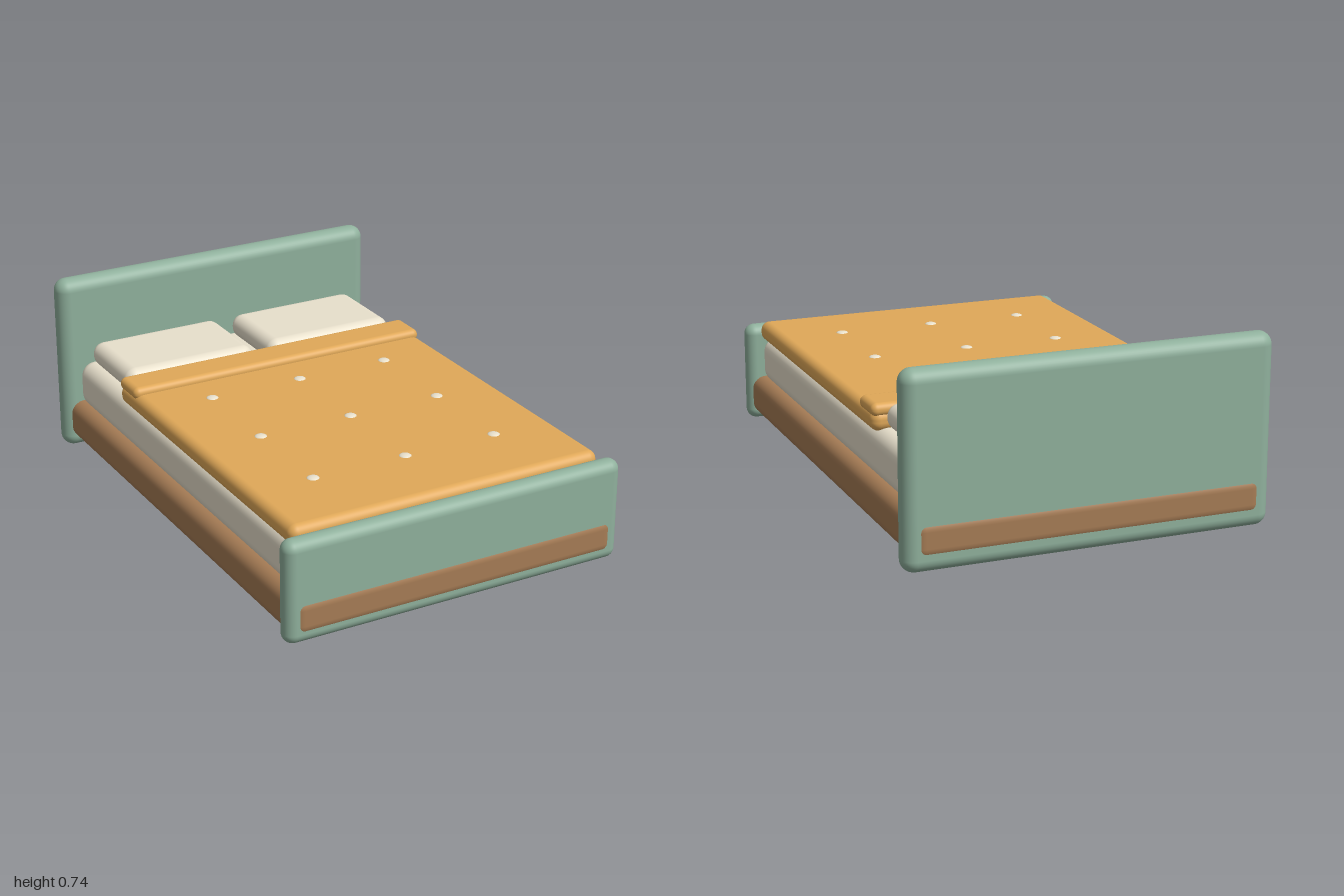
import * as THREE from 'three';
import { RoundedBoxGeometry } from 'three/addons/geometries/RoundedBoxGeometry.js';

const paint = (color) => new THREE.MeshStandardMaterial({ color });

export function createModel() {
  const bed = new THREE.Group();
  bed.name = 'bed';
  const green = paint(0x8fb09c), wood = paint(0xa67c55);
  const cream = paint(0xe8e0cc), mustard = paint(0xe0a858);

  // Rounded block given by its extents on each axis
  function block(name, material, [x0, x1], [y0, y1], [z0, z1], radius) {
    const geometry = new RoundedBoxGeometry(x1 - x0, y1 - y0, z1 - z0, 5, radius);
    const mesh = new THREE.Mesh(geometry, material);
    mesh.position.set((x0 + x1) / 2, (y0 + y1) / 2, (z0 + z1) / 2);
    mesh.name = name;
    bed.add(mesh);
  }

  // Frame, its ends showing just through the two boards
  block('frame', wood, [-0.67, 0.67], [0.06, 0.22], [-1, 1], 0.05);
  block('headboard', green, [-0.7, 0.7], [0.018, 0.74], [-0.996, -0.896], 0.049);
  block('footboard', green, [-0.69, 0.69], [0.038, 0.435], [0.914, 0.996], 0.04);

  // Bedding
  block('mattress', cream, [-0.63, 0.63], [0.2, 0.39], [-0.92, 0.93], 0.06);
  block('blanket', mustard, [-0.635, 0.635], [0.375, 0.455], [-0.49, 0.925], 0.035);
  block('blanketFold', mustard, [-0.635, 0.635], [0.432, 0.482], [-0.49, -0.337], 0.024);
  block('rightPillow', cream, [-0.595, -0.035], [0.39, 0.488], [-0.862, -0.485], 0.047);
  block('leftPillow', cream, [0.03, 0.59], [0.39, 0.488], [-0.862, -0.485], 0.047);

  // Tufting buttons on the blanket
  const buttonGeometry = new THREE.SphereGeometry(0.024, 16, 10);
  for (const x of [-0.38, 0, 0.38]) {
    for (const z of [-0.187, 0.213, 0.613]) {
      const button = new THREE.Mesh(buttonGeometry, cream);
      button.scale.y = 0.35;
      button.position.set(x, 0.453, z);
      button.name = 'button';
      bed.add(button);
    }
  }

  // Short round feet
  const footGeometry = new THREE.CylinderGeometry(0.044, 0.044, 0.08, 20);
  for (const x of [-0.53, 0.53]) {
    for (const z of [-0.783, 0.783]) {
      const foot = new THREE.Mesh(footGeometry, wood);
      foot.position.set(x, 0.04, z);
      foot.name = 'foot';
      bed.add(foot);
    }
  }
  return bed;
}
